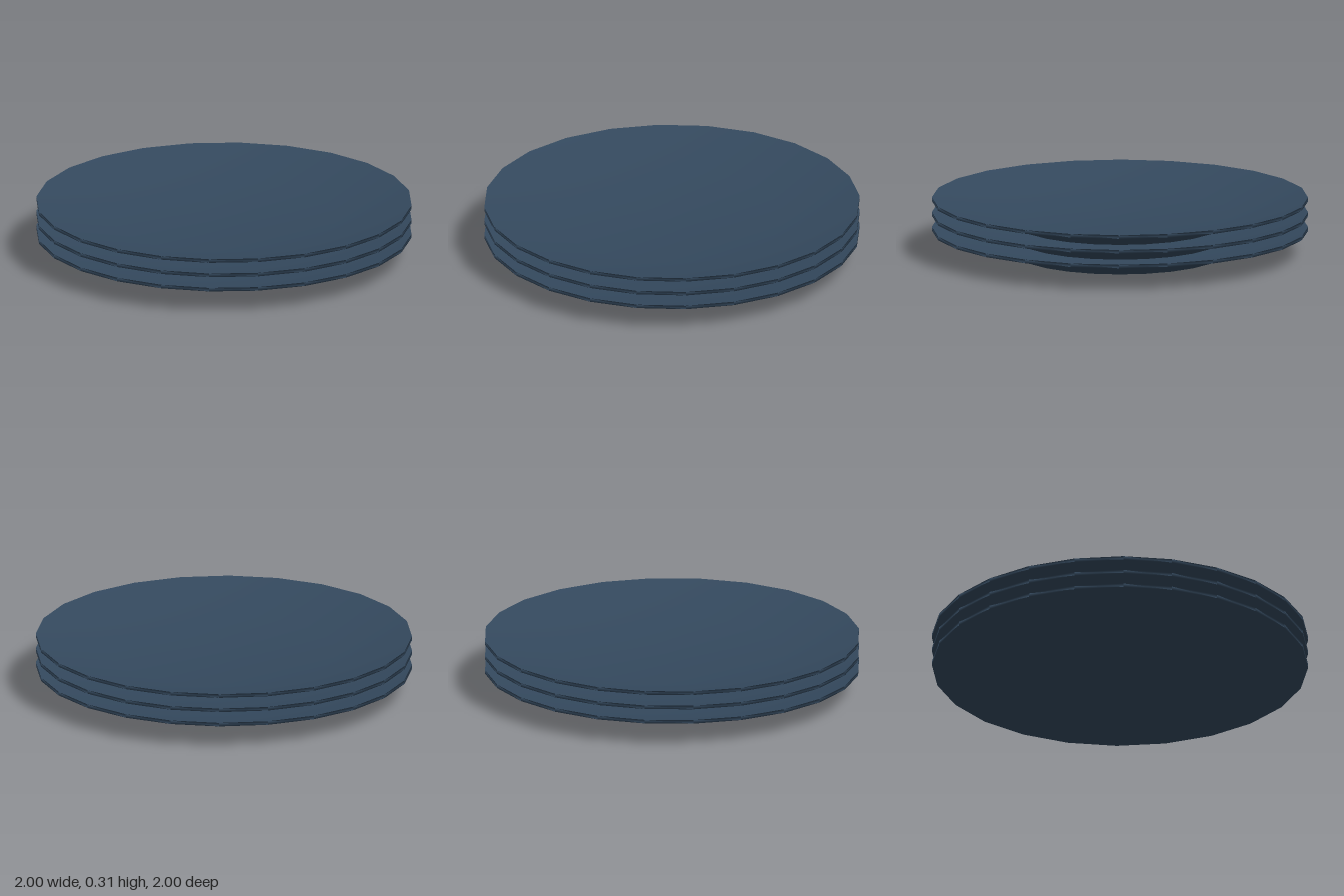
import * as THREE from 'three';

export function createModel() {
  const group = new THREE.Group();
  group.name = 'plateStack';

  const slate = new THREE.MeshStandardMaterial({ color: 0x34495e });
  slate.name = 'slate blue';

  // Closed plate profile: foot, flared underside, rim, inner slope, well
  const profile = [
    [0, 0], [0.55, 0], [0.6, 0.03], [1, 0.125],
    [1, 0.145], [0.6, 0.055], [0, 0.05],
  ].map(([r, y]) => new THREE.Vector2(r, y));
  const plateGeometry = new THREE.LatheGeometry(profile, 24);

  // Three identical plates, nested
  ['bottomPlate', 'middlePlate', 'topPlate'].forEach((name, i) => {
    const plate = new THREE.Mesh(plateGeometry, slate);
    plate.name = name;
    plate.position.y = i * 0.08;
    group.add(plate);
  });

  return group;
}
